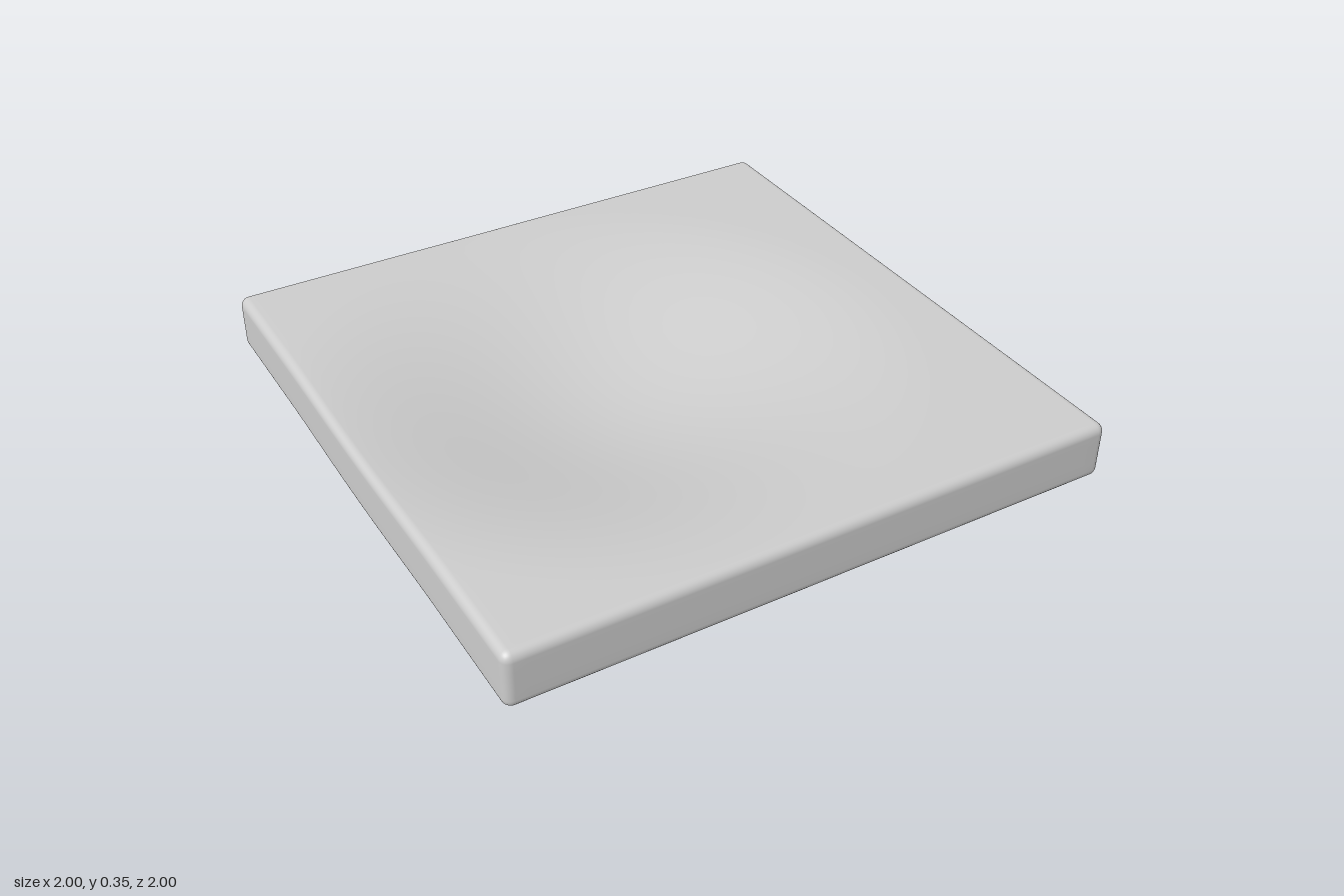
import * as THREE from 'three';
import { mergeVertices } from 'three/addons/utils/BufferGeometryUtils.js';

const HALF = 1, HALF_HEIGHT = 0.095, RADIUS = 0.03;
const SAG = 0.165, SAG_X = -0.15, SAG_REACH = 1.02;
const BEVEL = 4; // grid steps spent on each rounded edge

// Respace an even grid so that its outer steps fall inside the rounded edge
function respace(value, half, segments) {
  const step = Math.abs(value / half) * segments / 2;
  const inner = segments / 2 - BEVEL;
  const core = half - RADIUS;
  const size = step > inner ? core + (step - inner) / BEVEL * RADIUS : step / inner * core;
  return Math.sign(value) * size;
}

// Smooth bowl that sinks both the top and the underside
function sag(x, z) {
  const r = Math.min(Math.hypot(x - SAG_X, z) / SAG_REACH, 1);
  return SAG * (1 + Math.cos(Math.PI * r)) / 2;
}

function cushionGeometry() {
  const halves = new THREE.Vector3(HALF, HALF_HEIGHT, HALF);
  const segments = { x: 56, y: 12, z: 56 };
  let geometry = new THREE.BoxGeometry(2 * HALF, 2 * HALF_HEIGHT, 2 * HALF, segments.x, segments.y, segments.z);
  geometry.deleteAttribute('uv');
  geometry.deleteAttribute('normal');
  geometry = mergeVertices(geometry);

  const position = geometry.attributes.position;
  const p = new THREE.Vector3();
  const limit = halves.clone().subScalar(RADIUS);
  const lower = limit.clone().negate();
  for (let i = 0; i < position.count; i++) {
    p.fromBufferAttribute(position, i);
    for (const axis of ['x', 'y', 'z']) p[axis] = respace(p[axis], halves[axis], segments[axis]);
    // Round the edges, then press the bowl in
    const core = p.clone().clamp(lower, limit);
    p.sub(core).setLength(RADIUS).add(core);
    p.y -= sag(p.x, p.z);
    position.setXYZ(i, p.x, p.y + HALF_HEIGHT + SAG, p.z);
  }
  geometry.computeVertexNormals();
  return geometry;
}

export function createModel() {
  const model = new THREE.Group();
  model.name = 'dentedCushion';
  const cushion = new THREE.Mesh(cushionGeometry(), new THREE.MeshStandardMaterial({ color: 0xcccccc }));
  cushion.name = 'cushion';
  model.add(cushion);
  return model;
}
